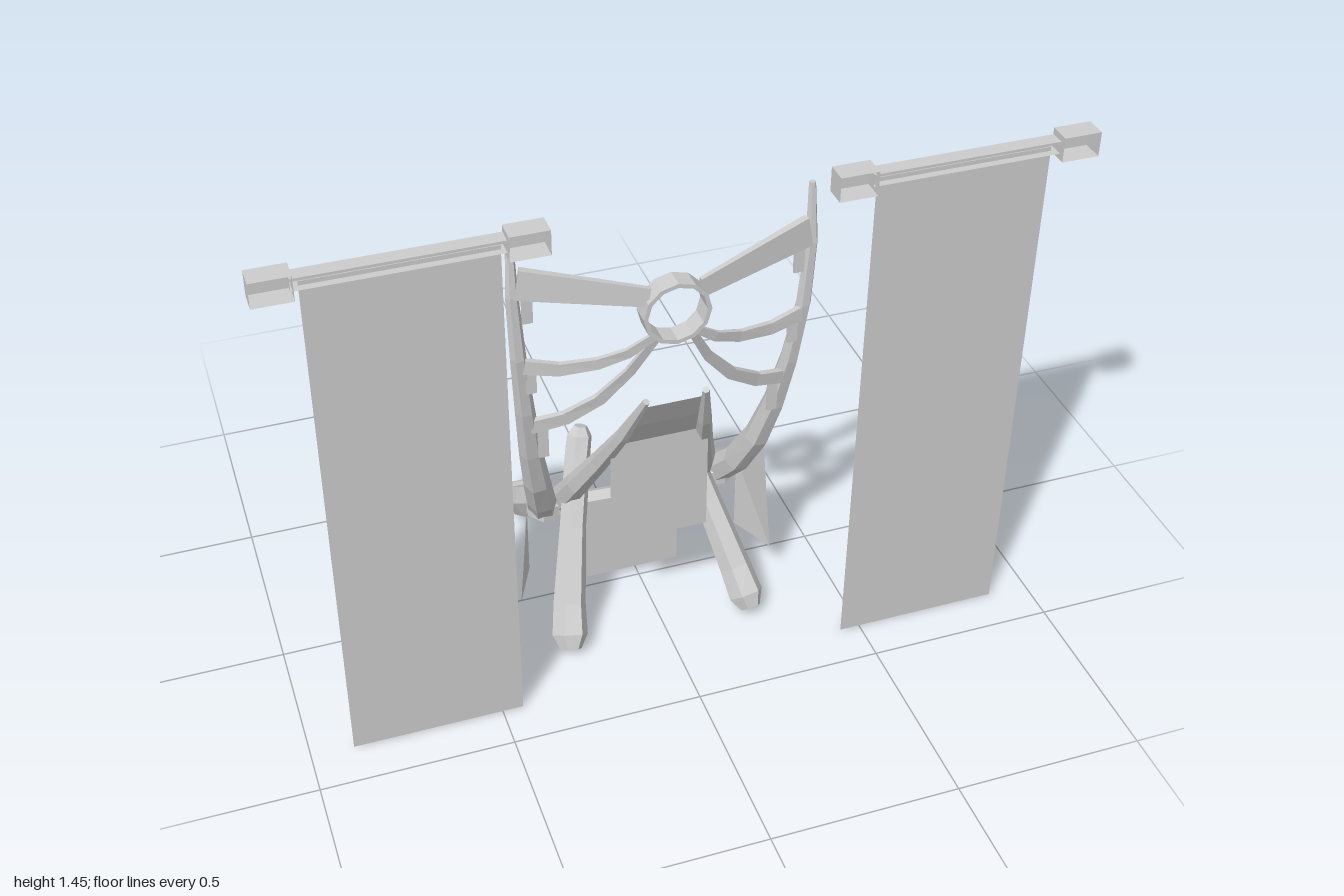
import * as THREE from 'three';

const X = new THREE.Vector3(1, 0, 0);
const Y = new THREE.Vector3(0, 1, 0);
const Z = new THREE.Vector3(0, 0, 1);

// Capped faceted tube through [x, y, z, radius]; s mirrors x, flat squeezes it along ref
function limb(points, { s = 1, sides = 6, ref = X, flat = 1 } = {}) {
  const c = points.map(p => new THREE.Vector3(p[0] * s, p[1], p[2]));
  const pos = [], idx = [], n = c.length;
  const phase = sides === 4 ? Math.PI / 4 : 0;
  const k = sides === 4 ? Math.SQRT2 : 1;
  c.forEach((p, i) => {
    const t = c[Math.min(i + 1, n - 1)].clone().sub(c[Math.max(i - 1, 0)]).normalize();
    const u = ref.clone().addScaledVector(t, -ref.dot(t)).normalize();
    const v = t.clone().cross(u);
    for (let j = 0; j < sides; j++) {
      const a = phase + j / sides * Math.PI * 2, r = points[i][3] * k;
      const q = p.clone().addScaledVector(u, Math.cos(a) * r * flat).addScaledVector(v, Math.sin(a) * r);
      pos.push(q.x, q.y, q.z);
    }
  });
  for (let i = 0; i < n - 1; i++) {
    for (let j = 0; j < sides; j++) {
      const a = i * sides + j, b = i * sides + (j + 1) % sides;
      idx.push(a, b, b + sides, a, b + sides, a + sides);
    }
  }
  for (let j = 1; j < sides - 1; j++) {
    const e = (n - 1) * sides;
    idx.push(0, j + 1, j, e, e + j, e + j + 1);
  }
  const g = new THREE.BufferGeometry();
  g.setAttribute('position', new THREE.Float32BufferAttribute(pos, 3));
  g.setIndex(idx);
  g.computeVertexNormals();
  return g;
}

// Cloth sheet made of rows of [left point, right point]
function sheet(rows) {
  const g = new THREE.BufferGeometry(), idx = [];
  g.setAttribute('position', new THREE.Float32BufferAttribute(rows.flat(2), 3));
  for (let i = 0; i < rows.length - 1; i++) {
    const a = i * 2;
    idx.push(a, a + 2, a + 3, a, a + 3, a + 1);
  }
  g.setIndex(idx);
  g.computeVertexNormals();
  return g;
}

// Box without its front face
function openBox(w, h, d) {
  const g = new THREE.BoxGeometry(w, h, d);
  const i = Array.from(g.index.array);
  i.splice(24, 6);
  g.setIndex(i);
  g.clearGroups();
  return g;
}

export function createModel() {
  const model = new THREE.Group();
  model.name = 'chairWithBanners';
  const grey = new THREE.MeshStandardMaterial({ color: 0xcccccc, flatShading: true, side: THREE.DoubleSide });
  grey.name = 'lightGrey';

  const add = (parent, name, geometry, x = 0, y = 0, z = 0) => {
    const m = new THREE.Mesh(geometry, grey);
    m.name = name;
    m.position.set(x, y, z);
    parent.add(m);
    return m;
  };

  // Hanging banners on rods with end blocks
  for (const s of [-1, 1]) {
    const banner = new THREE.Group();
    banner.name = s > 0 ? 'leftBanner' : 'rightBanner';
    model.add(banner);
    add(banner, 'bannerCloth', new THREE.PlaneGeometry(0.445, 1.417), s * 0.668, 0.7085, 0.386);
    add(banner, 'bannerRod', openBox(0.48, 0.032, 0.038), s * 0.67, 1.422, 0.386);
    for (const x of [0.388, 0.952]) {
      add(banner, 'rodEndBlock', openBox(0.095, 0.064, 0.056), s * x, 1.422, 0.392);
    }
  }

  const chair = new THREE.Group();
  chair.name = 'chair';
  chair.position.x = -0.018;
  model.add(chair);

  for (const s of [-1, 1]) {
    // Rear leg sweeping up into the cloth post
    add(chair, 'rearLeg', limb([
      [0.222, 0.065, -0.4, 0.03], [0.222, 0.055, -0.355, 0.048], [0.217, 0.125, -0.26, 0.05],
      [0.21, 0.21, -0.15, 0.045], [0.195, 0.32, -0.015, 0.036], [0.175, 0.44, 0.075, 0.032],
      [0.14, 0.57, 0.16, 0.026], [0.108, 0.71, 0.25, 0.019], [0.076, 0.87, 0.338, 0.009]
    ], { s }));

    // Front leg crossing the rear leg
    add(chair, 'frontLeg', limb([
      [0.255, 0.025, 0.25, 0.028], [0.25, 0.055, 0.225, 0.048], [0.235, 0.12, 0.175, 0.044],
      [0.19, 0.29, 0.07, 0.036], [0.145, 0.45, -0.025, 0.035], [0.132, 0.495, -0.048, 0.034],
      [0.126, 0.52, -0.056, 0.018]
    ], { s }));

    // Tall curved horn
    add(chair, 'horn', limb([
      [0.235, 0.285, -0.03, 0.022], [0.25, 0.315, -0.01, 0.04], [0.273, 0.4, 0.065, 0.038],
      [0.3, 0.52, 0.13, 0.035], [0.325, 0.66, 0.175, 0.03], [0.345, 0.82, 0.213, 0.025],
      [0.363, 1.0, 0.24, 0.02], [0.373, 1.18, 0.245, 0.016], [0.371, 1.34, 0.235, 0.009]
    ], { s }));

    // Knob at the end of the crossbar
    add(chair, 'crossbarKnob', limb([
      [0.215, 0.305, -0.015, 0.04], [0.255, 0.31, -0.015, 0.048], [0.285, 0.315, -0.015, 0.03]
    ], { s, ref: Y }));

    // Cloth hanging under the horn
    add(chair, 'sideCloth', sheet([
      [[s * 0.297, 0.35, 0.003], [s * 0.32, 0.53, 0.127]],
      [[s * 0.297, 0.115, 0.003], [s * 0.355, 0.115, 0.127]]
    ]));

    // Arms that carry the ring
    add(chair, 'upperArm', limb([
      [0.362, 1.215, 0.25, 0.04], [0.065, 1.163, 0.325, 0.025]
    ], { s, sides: 4, ref: Z, flat: 0.25 }));
    add(chair, 'middleArm', limb([
      [0.352, 0.978, 0.25, 0.019], [0.27, 0.962, 0.265, 0.017], [0.18, 0.972, 0.285, 0.015],
      [0.11, 1.0, 0.305, 0.013], [0.052, 1.043, 0.318, 0.01]
    ], { s, sides: 4, ref: Z, flat: 0.4 }));
    add(chair, 'lowerArm', limb([
      [0.335, 0.768, 0.215, 0.019], [0.25, 0.79, 0.235, 0.018], [0.17, 0.845, 0.26, 0.016],
      [0.1, 0.93, 0.285, 0.013], [0.042, 1.04, 0.318, 0.01]
    ], { s, sides: 4, ref: Z, flat: 0.4 }));

    // Small tabs below each arm
    for (const [x, y, z] of [[0.34, 1.145, 0.252], [0.335, 0.935, 0.245], [0.302, 0.71, 0.215]]) {
      add(chair, 'armTab', new THREE.BoxGeometry(0.026, 0.085, 0.008), s * x, y, z);
    }
  }

  // Ring between the horns
  const ringProfile = [[0.074, -0.027], [0.085, -0.027], [0.085, 0.027], [0.074, 0.027], [0.074, -0.027]]
    .map(p => new THREE.Vector2(...p));
  add(chair, 'ring', new THREE.LatheGeometry(ringProfile, 12), 0, 1.112, 0.317).rotation.x = Math.PI / 2;

  // Slightly sagging crossbar
  add(chair, 'crossbar', limb([
    [-0.25, 0.31, -0.015, 0.034], [-0.13, 0.295, -0.015, 0.03], [0, 0.29, -0.015, 0.028],
    [0.13, 0.295, -0.015, 0.03], [0.25, 0.31, -0.015, 0.034]
  ], { ref: Y }));

  // Cloth stretched between the posts, then hanging straight down
  add(chair, 'backCloth', sheet([
    [[-0.083, 0.84, 0.322], [0.083, 0.84, 0.322]],
    [[-0.104, 0.745, 0.268], [0.104, 0.745, 0.268]],
    [[-0.122, 0.65, 0.21], [0.122, 0.65, 0.21]]
  ]));
  add(chair, 'hangingCloth', new THREE.PlaneGeometry(0.262, 0.325), 0.003, 0.492, 0.21);
  add(chair, 'lowerCloth', new THREE.PlaneGeometry(0.262, 0.27), 0.003, 0.155, -0.015);

  return model;
}
